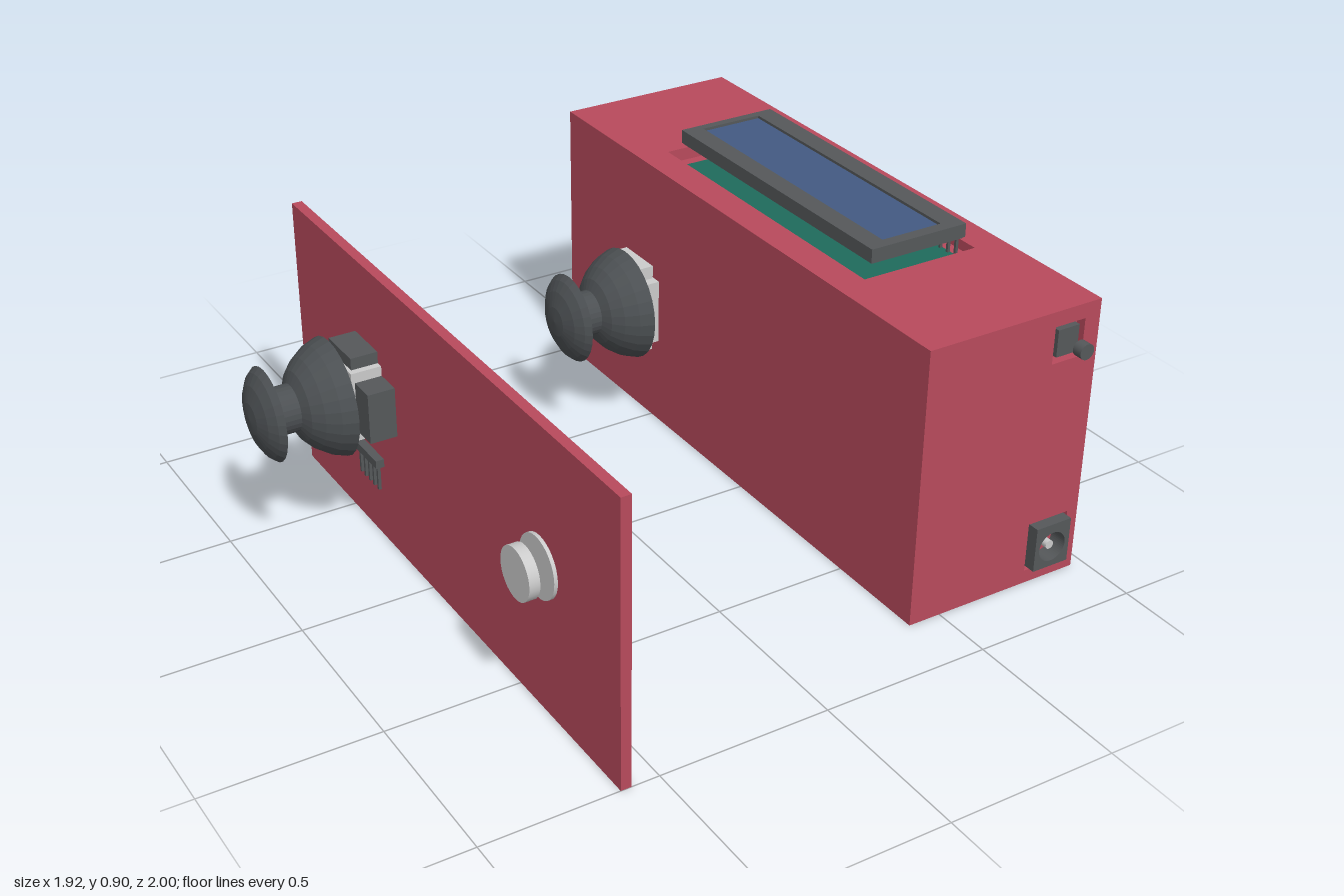
import * as THREE from 'three';

const mat = (color, extra = {}) => new THREE.MeshStandardMaterial({ color, ...extra });
const red = mat(0xb84a5c);
const dark = mat(0x55585a);
const knobMat = mat(0x4c5053, { flatShading: true, side: THREE.DoubleSide });
const grey = mat(0xcccccc);
const blue = mat(0x435a82);
const green = mat(0x1f6b5c);

function add(parent, name, geometry, material) {
  const mesh = new THREE.Mesh(geometry, material);
  mesh.name = name;
  parent.add(mesh);
  return mesh;
}

// Box given by its limits on each axis
function block(parent, name, material, x0, x1, y0, y1, z0, z1) {
  const mesh = add(parent, name, new THREE.BoxGeometry(x1 - x0, y1 - y0, z1 - z0), material);
  mesh.position.set((x0 + x1) / 2, (y0 + y1) / 2, (z0 + z1) / 2);
  return mesh;
}

// Cylinder lying along x, from x0 to x1
function discX(parent, name, material, r, x0, x1, y, z) {
  const mesh = add(parent, name, new THREE.CylinderGeometry(r, r, x1 - x0, 32), material);
  mesh.rotation.z = Math.PI / 2;
  mesh.position.set((x0 + x1) / 2, y, z);
  return mesh;
}

function trace(path, x0, x1, y0, y1) {
  path.moveTo(x0, y0);
  path.lineTo(x1, y0);
  path.lineTo(x1, y1);
  path.lineTo(x0, y1);
  path.closePath();
  return path;
}
const rectHole = (...limits) => trace(new THREE.Path(), ...limits);
const roundHole = (x, y, r) => new THREE.Path().absarc(x, y, r, 0, Math.PI * 2, true);

// Rectangular plate with holes, extruded along z
function plate(limits, holes, depth) {
  const shape = trace(new THREE.Shape(), ...limits);
  shape.holes.push(...holes);
  return new THREE.ExtrudeGeometry(shape, { depth, bevelEnabled: false, curveSegments: 24 });
}

function createCase() {
  const g = new THREE.Group();
  g.name = 'case';
  const t = 0.03;
  // Plain walls
  block(g, 'bottomWall', red, 0.4, 0.96, 0, t, -0.96, 0.785);
  block(g, 'rightWall', red, 0.4, 0.4 + t, t, 0.805, -0.96, 0.785);
  block(g, 'leftWall', red, 0.96 - t, 0.96, t, 0.805, -0.96, 0.785);
  // Top wall with the display opening and a tray beneath
  const top = add(g, 'topWall', plate([0.4, 0.96, -0.785, 0.96], [rectHole(0.495, 0.865, -0.41, 0.57)], t), red);
  top.rotation.x = -Math.PI / 2;
  top.position.y = 0.805;
  block(g, 'displayTray', red, 0.43, 0.93, 0.74, 0.76, -0.64, 0.46);
  block(g, 'displayBoard', green, 0.515, 0.86, 0.762, 0.785, -0.56, 0.4);
  // Front wall with openings for the button and the power socket
  const frontHoles = [rectHole(0.81, 0.91, 0.68, 0.79), rectHole(0.79, 0.925, 0.04, 0.19)];
  add(g, 'frontWall', plate([0.4, 0.96, 0, 0.835], frontHoles, t), red).position.z = 0.785;
  block(g, 'frontBacking', red, 0.43, 0.93, 0.03, 0.805, 0.765, 0.785);
  // Back wall with the round recess and the switch slot
  const backHoles = [roundHole(0.672, 0.445, 0.255), rectHole(0.88, 0.93, 0.69, 0.79)];
  add(g, 'backWall', plate([0.4, 0.96, 0, 0.835], backHoles, t), red).position.z = -0.99;
  block(g, 'backBacking', red, 0.43, 0.93, 0.03, 0.805, -0.96, -0.94);
  return g;
}

function createDisplay() {
  const g = new THREE.Group();
  g.name = 'display';
  // Frame around the recessed screen
  const frame = add(g, 'displayFrame', plate([0.53, 0.845, -0.39, 0.55], [rectHole(0.59, 0.785, -0.355, 0.525)], 0.04), dark);
  frame.rotation.x = -Math.PI / 2;
  frame.position.y = 0.865;
  block(g, 'displayBack', dark, 0.535, 0.84, 0.86, 0.867, -0.545, 0.385);
  block(g, 'screen', blue, 0.59, 0.785, 0.867, 0.897, -0.525, 0.355);
  // Row of contact pins beside the frame
  for (let i = 0; i < 8; i++) {
    const z = 0.11 + i * 0.033;
    block(g, 'displayPin', dark, 0.85, 0.858, 0.78, 0.838, z, z + 0.008);
  }
  // Light tab beside the opening
  const tab = new THREE.Shape([[0.63, 0.57], [0.74, 0.57], [0.705, 0.605], [0.665, 0.605]].map(p => new THREE.Vector2(...p)));
  const tabMesh = add(g, 'displayTab', new THREE.ExtrudeGeometry(tab, { depth: 0.03, bevelEnabled: false }), grey);
  tabMesh.rotation.x = -Math.PI / 2;
  tabMesh.position.y = 0.82;
  return g;
}

function createFittings() {
  const g = new THREE.Group();
  g.name = 'fittings';
  // Push button
  block(g, 'buttonBody', dark, 0.825, 0.895, 0.695, 0.775, 0.78, 0.812);
  const cap = add(g, 'buttonCap', new THREE.CylinderGeometry(0.023, 0.023, 0.03, 20), dark);
  cap.rotation.x = Math.PI / 2;
  cap.position.set(0.862, 0.735, 0.87);
  // Power socket with its pin
  add(g, 'powerSocket', plate([0.8, 0.918, 0.047, 0.183], [roundHole(0.859, 0.11, 0.045)], 0.055), dark).position.z = 0.785;
  const pin = add(g, 'powerPin', new THREE.CylinderGeometry(0.013, 0.013, 0.045, 16), grey);
  pin.rotation.x = Math.PI / 2;
  pin.position.set(0.859, 0.11, 0.807);
  // Slide switch at the back
  block(g, 'switchBody', dark, 0.885, 0.925, 0.695, 0.785, -0.975, -0.955);
  block(g, 'switchLever', dark, 0.895, 0.922, 0.705, 0.75, -1, -0.97);
  return g;
}

// Thumb stick pointing along -x, with its tip at the local origin
function createStick() {
  const g = new THREE.Group();
  g.name = 'thumbStick';
  const profile = [[0, 0], [0.045, 0.004], [0.09, 0.018], [0.12, 0.036], [0.135, 0.054], [0.075, 0.057],
    [0.068, 0.06], [0.068, 0.125], [0.1, 0.14], [0.13, 0.168], [0.155, 0.205], [0.17, 0.247], [0.155, 0.247], [0.1, 0.19], [0, 0.165]];
  const geo = new THREE.LatheGeometry(profile.map(p => new THREE.Vector2(...p)), 28);
  add(g, 'stickCap', geo, knobMat).rotation.z = -Math.PI / 2;
  // Gimbal housing below the dome
  discX(g, 'stickStem', grey, 0.05, 0.15, 0.27, 0, 0);
  return g;
}

function createPanel() {
  const g = new THREE.Group();
  g.name = 'sidePanel';
  block(g, 'panel', red, -0.61, -0.58, 0, 0.835, -0.81, 1);

  // Stick with its full module
  const stick = createStick();
  stick.position.set(-0.965, 0.465, -0.35);
  g.add(stick);
  block(g, 'gimbalHousing', grey, -0.7, -0.61, 0.36, 0.57, -0.44, -0.26);
  block(g, 'upperFrame', dark, -0.69, -0.61, 0.57, 0.605, -0.42, -0.28);
  for (const [z0, z1] of [[-0.49, -0.44], [-0.26, -0.18]])
    block(g, 'sensor', dark, -0.69, -0.61, 0.39, 0.54, z0, z1);
  // Header with bent pins
  block(g, 'header', dark, -0.635, -0.61, 0.24, 0.265, -0.42, -0.28);
  for (let i = 0; i < 5; i++) {
    const z = -0.41 + i * 0.028;
    block(g, 'headerPin', dark, -0.627, -0.618, 0.165, 0.25, z, z + 0.009);
  }
  // Circuit board on the other face, with holes and solder pins
  const holes = [];
  for (const z of [-0.485, -0.2]) for (const y of [0.27, 0.63]) holes.push(roundHole(-z, y, 0.015));
  const board = add(g, 'circuitBoard', plate([0.17, 0.52, 0.23, 0.675], holes, 0.014), dark);
  board.rotation.y = Math.PI / 2;
  board.position.x = -0.58;
  for (let i = 0; i < 5; i++) {
    block(g, 'solderPin', dark, -0.57, -0.55, 0.255, 0.263, -0.41 + i * 0.028, -0.4 + i * 0.028);
    if (i < 3) {
      block(g, 'solderPin', dark, -0.57, -0.55, 0.59, 0.598, -0.38 + i * 0.028, -0.37 + i * 0.028);
      block(g, 'solderPin', dark, -0.57, -0.55, 0.43 + i * 0.035, 0.438 + i * 0.035, -0.23, -0.222);
      block(g, 'solderPin', dark, -0.57, -0.55, 0.43 + i * 0.035, 0.438 + i * 0.035, -0.47, -0.462);
    }
  }

  // Round push button and its body behind the panel
  discX(g, 'roundButtonCap', grey, 0.073, -0.7, -0.67, 0.46, 0.655);
  discX(g, 'roundButtonFlange', grey, 0.087, -0.64, -0.63, 0.46, 0.655);
  discX(g, 'roundButtonStem', dark, 0.035, -0.63, -0.61, 0.46, 0.645);
  block(g, 'roundButtonBody', dark, -0.58, -0.563, 0.415, 0.505, 0.6, 0.68);
  for (const y of [0.425, 0.49]) for (const z of [0.605, 0.668])
    block(g, 'roundButtonPin', dark, -0.565, -0.535, y, y + 0.008, z, z + 0.008);
  return g;
}

export function createModel() {
  const model = new THREE.Group();
  model.name = 'gameConsoleParts';
  model.add(createCase(), createDisplay(), createFittings(), createPanel());

  // Second stick, beside the case
  const stick = createStick();
  stick.position.set(0.072, 0.4, -0.522);
  model.add(stick);
  block(model, 'stickBase', grey, 0.315, 0.373, 0.3, 0.5, -0.66, -0.42);
  block(model, 'stickBaseUpright', grey, 0.32, 0.37, 0.26, 0.54, -0.6, -0.45);
  return model;
}
